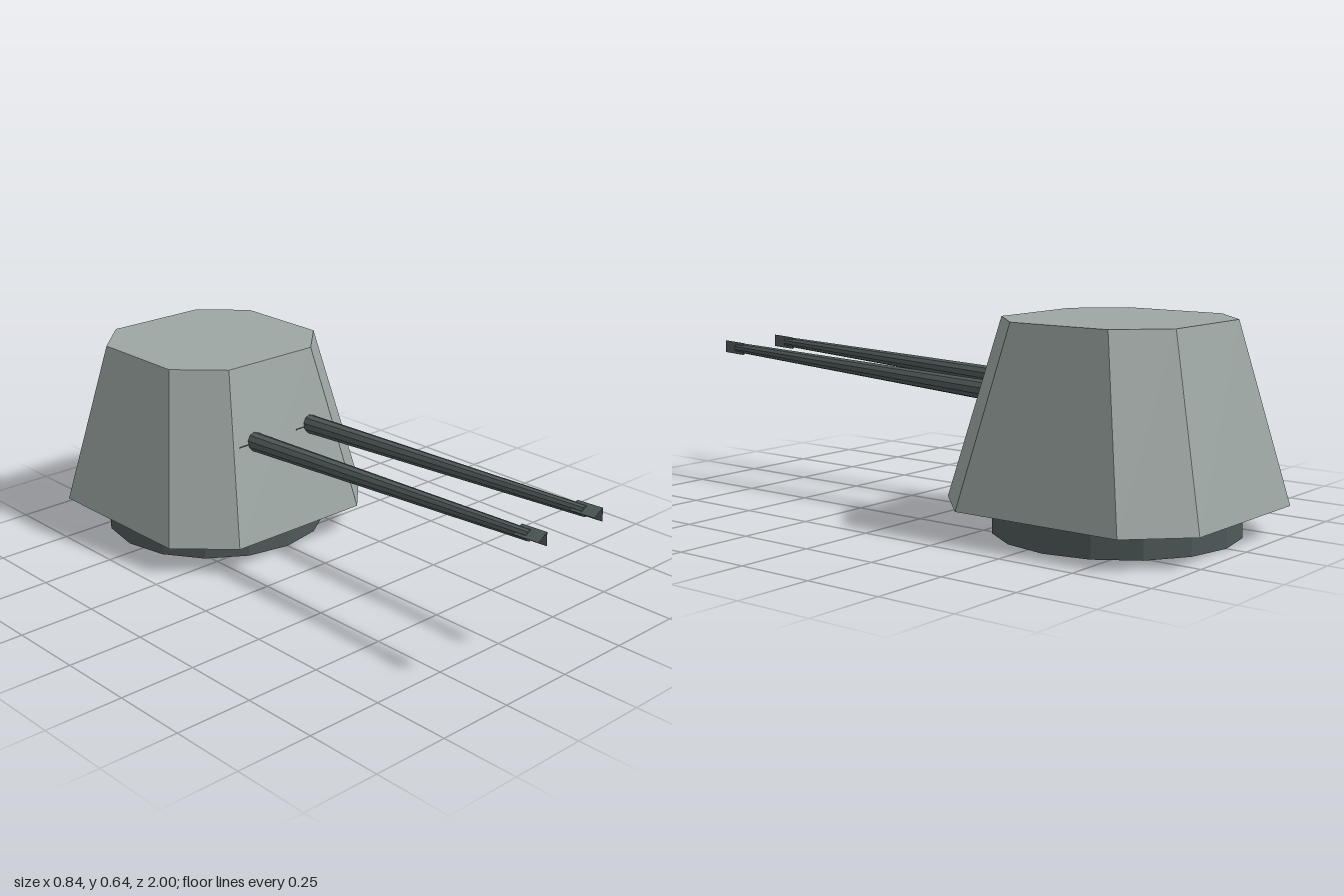
import * as THREE from 'three';
import { ConvexGeometry } from 'three/addons/geometries/ConvexGeometry.js';

const CENTER_Z = -0.56;

function material(name, color, extra = {}) {
  const m = new THREE.MeshStandardMaterial({ color, flatShading: true, ...extra });
  m.name = name;
  return m;
}

// Corners of a chamfered rectangle at height y
function octagon(y, halfX, halfZ, edgeX, edgeZ) {
  const points = [];
  for (const sx of [-1, 1]) for (const sz of [-1, 1]) {
    points.push(new THREE.Vector3(sx * edgeX, y, sz * halfZ));
    points.push(new THREE.Vector3(sx * halfX, y, sz * edgeZ));
  }
  return points;
}

export function createModel() {
  const model = new THREE.Group();
  model.name = 'gunTurret';
  const hullGrey = material('hullGrey', 0x9da6a3);
  const darkSteel = material('darkSteel', 0x4f5a59, { side: THREE.DoubleSide });

  const add = (parent, name, geometry, mat, x = 0, y = 0, z = 0) => {
    const mesh = new THREE.Mesh(geometry, mat);
    mesh.name = name;
    mesh.position.set(x, y, z);
    parent.add(mesh);
    return mesh;
  };

  // Round turret ring
  add(model, 'turretRing', new THREE.CylinderGeometry(0.376, 0.376, 0.1, 16), darkSteel, 0, 0.05, CENTER_Z);

  // Tapered armoured housing
  add(model, 'housing', new ConvexGeometry([
    ...octagon(0.09, 0.422, 0.44, 0.26, 0.28),
    ...octagon(0.64, 0.31, 0.302, 0.175, 0.168),
  ]), hullGrey, 0, 0, CENTER_Z);

  // Twin raised guns
  for (const side of [-1, 1]) {
    const x = side * 0.12;
    const gun = new THREE.Group();
    gun.name = side < 0 ? 'rightGun' : 'leftGun';
    gun.position.set(x, 0.398, -0.25);
    gun.lookAt(x - 0.006, 0.457, 1);
    model.add(gun);

    const barrel = new THREE.CylinderGeometry(0.017, 0.032, 1.2, 10).rotateX(Math.PI / 2);
    add(gun, 'barrel', barrel, darkSteel, 0, 0, 0.6);

    // Open three-sided muzzle
    const muzzle = new THREE.CylinderGeometry(0.024, 0.024, 0.09, 3, 1, true, -Math.PI / 2).rotateX(Math.PI / 2);
    add(gun, 'muzzle', muzzle, darkSteel, 0, 0, 1.205);

    // Thin mounting plate just showing through the front armour
    add(model, 'mountPlate', new THREE.BoxGeometry(0.136, 0.003, 0.06), darkSteel, x, 0.398, -0.225);
  }
  return model;
}
